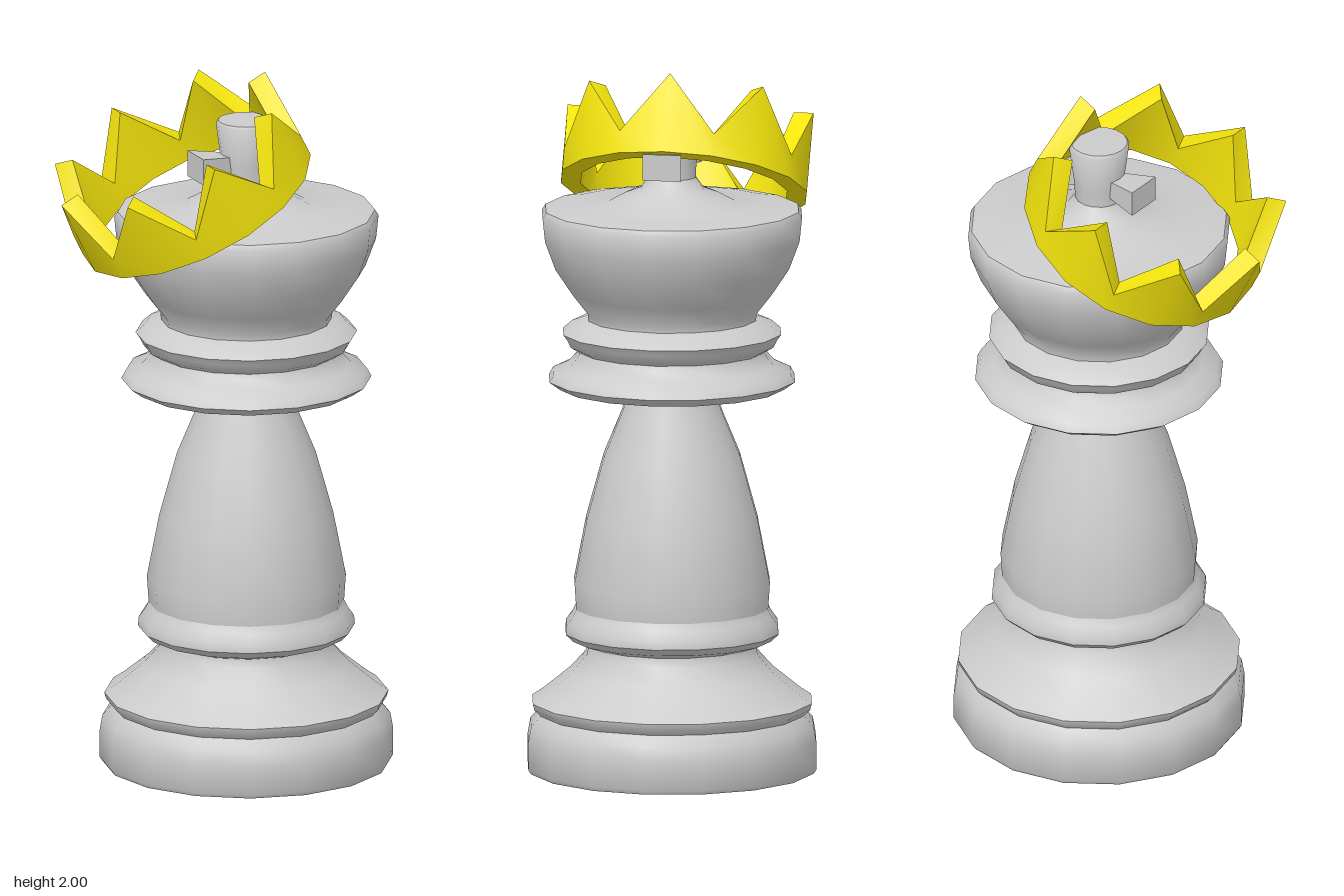
import * as THREE from 'three';
import { toCreasedNormals } from 'three/addons/utils/BufferGeometryUtils.js';

const AXIS_X = 0.075; // the piece stands off-centre because the crown overhangs
const SIDES = 16;
const grey = new THREE.MeshStandardMaterial({ color: 0xcccccc });
const yellow = new THREE.MeshStandardMaterial({ color: 0xf2e30c });

function turned(name, profile) {
  const points = profile.map(([r, y]) => new THREE.Vector2(r, y));
  const geometry = toCreasedNormals(new THREE.LatheGeometry(points, SIDES), 0.85);
  const mesh = new THREE.Mesh(geometry, grey);
  mesh.name = name;
  mesh.position.x = AXIS_X;
  return mesh;
}

// Cross arm along x, flaring outwards
function crossArm(name, side) {
  const geometry = new THREE.BoxGeometry(0.12, 0.075, 0.11);
  const p = geometry.attributes.position;
  for (let i = 0; i < p.count; i++) {
    if (p.getX(i) * side < 0) p.setXYZ(i, p.getX(i), p.getY(i) * 0.65, p.getZ(i) * 0.45);
  }
  geometry.computeVertexNormals();
  const mesh = new THREE.Mesh(geometry, grey);
  mesh.name = name;
  mesh.position.set(AXIS_X + side * 0.097, 1.747, 0);
  return mesh;
}

// Ring with a zigzag top: tips on even columns, valleys on odd ones
function crownGeometry(outer, inner, tip, valley, tips) {
  const columns = tips * 2;
  const positions = [];
  const point = (r, i, y) => {
    const a = (i / columns) * Math.PI * 2;
    return [r * Math.cos(a), y, r * Math.sin(a)];
  };
  const quad = (a, b, c, d) => positions.push(...a, ...b, ...c, ...a, ...c, ...d);
  const section = (i) => {
    const top = i % 2 ? valley : tip;
    return [point(outer, i, 0), point(outer, i, top), point(inner, i, top), point(inner, i, 0)];
  };
  for (let i = 0; i < columns; i++) {
    const s = section(i);
    const t = section(i + 1);
    for (let k = 0; k < 4; k++) {
      const n = (k + 1) % 4;
      quad(s[k], s[n], t[n], t[k]);
    }
  }
  const geometry = new THREE.BufferGeometry();
  geometry.setAttribute('position', new THREE.Float32BufferAttribute(positions, 3));
  return toCreasedNormals(geometry, 0.6);
}

export function createModel() {
  const model = new THREE.Group();
  model.name = 'crownedChessKing';

  // Foot and its mouldings
  model.add(turned('base', [
    [0, 0], [0.405, 0], [0.413, 0.012], [0.413, 0.09], [0.405, 0.135], [0.378, 0.165],
    [0.395, 0.182], [0.4, 0.2], [0.37, 0.22], [0.29, 0.285], [0.245, 0.335], [0.24, 0.36],
    [0.285, 0.375], [0.305, 0.395], [0.303, 0.42], [0.285, 0.445], [0.275, 0.465],
  ]));

  // Tapering column
  model.add(turned('stem', [
    [0.275, 0.465], [0.28, 0.54], [0.245, 0.72], [0.195, 0.9], [0.145, 1.02], [0.125, 1.075],
  ]));

  // Double collar under the head
  model.add(turned('collar', [
    [0.12, 1.065], [0.24, 1.08], [0.32, 1.095], [0.352, 1.118], [0.34, 1.14], [0.295, 1.16],
    [0.272, 1.185], [0.265, 1.2], [0.29, 1.215], [0.3, 1.235], [0.312, 1.252],
    [0.285, 1.275], [0.24, 1.29],
  ]));

  // Flared head with its shallow top
  model.add(turned('head', [
    [0.24, 1.285], [0.242, 1.31], [0.285, 1.365], [0.335, 1.44], [0.365, 1.52], [0.372, 1.588],
    [0.362, 1.604], [0.3, 1.614], [0.18, 1.62], [0.135, 1.645], [0.09, 1.662], [0.068, 1.695],
  ]));

  // Cross finial
  const finial = new THREE.Group();
  finial.name = 'crossFinial';
  finial.add(turned('finialPost', [[0.068, 1.69], [0.07, 1.74], [0.086, 1.862], [0.08, 1.87], [0, 1.872]]));
  finial.add(crossArm('leftArm', 1), crossArm('rightArm', -1));
  model.add(finial);

  // Crown slipping off to one side
  const crown = new THREE.Mesh(crownGeometry(0.352, 0.295, 0.23, 0.065, 8), yellow);
  crown.name = 'crown';
  crown.position.set(-0.075, 1.637, -0.006);
  crown.rotation.z = 0.468;
  model.add(crown);

  return model;
}
